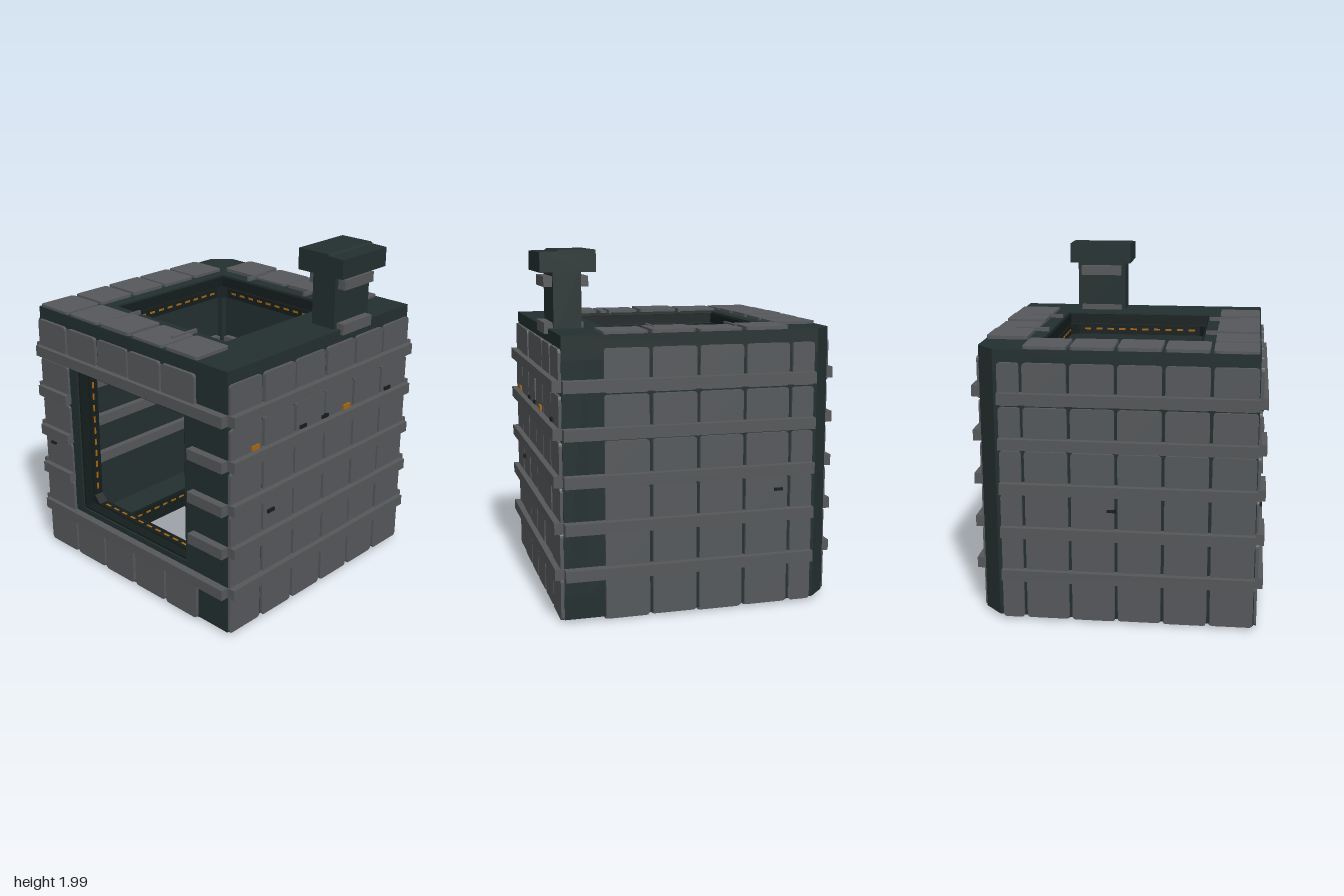
import * as THREE from 'three';

const mat = (name, color) => Object.assign(new THREE.MeshStandardMaterial({ color }), { name });

export function createModel() {
  const model = new THREE.Group();
  model.name = 'tiledCube';
  const body = mat('dark green body', 0x232f2f);
  const grey = mat('grey tile', 0x55585b);
  const slatGrey = mat('slat grey', 0x555759);
  const trim = mat('black trim', 0x151d1d);
  const amber = mat('amber light', 0xa8660f);

  const add = (parent, name, geo, m, x = 0, y = 0, z = 0) => {
    const o = new THREE.Mesh(geo, m);
    o.name = name;
    o.position.set(x, y, z);
    parent.add(o);
    return o;
  };
  // box given by its min and max corners
  const box = (parent, name, m, x0, x1, y0, y1, z0, z1) =>
    add(parent, name, new THREE.BoxGeometry(x1 - x0, y1 - y0, z1 - z0), m,
      (x0 + x1) / 2, (y0 + y1) / 2, (z0 + z1) / 2);
  const points = (a) => a.map(([x, y]) => new THREE.Vector2(x, y));
  // square outline with cut corners
  const octagon = (r, c) => points([[r - c, -r], [r, -r + c], [r, r - c], [r - c, r],
    [-r + c, r], [-r, r - c], [-r, -r + c], [-r + c, -r]]);
  const square = (r) => points([[-r, -r], [r, -r], [r, r], [-r, r]]);
  const plate = (outline, hole, depth) => {
    const s = new THREE.Shape(outline);
    if (hole) s.holes.push(new THREE.Path(hole));
    return new THREE.ExtrudeGeometry(s, { depth, bevelEnabled: false });
  };
  let seed = 7;
  const rand = () => (seed = (seed * 16807) % 2147483647) / 2147483647;

  const R = 0.77, IN = 0.64, MID = 0.797, LOW = 0.025, HIGH = 1.57;
  const HALF = (HIGH - LOW) / 2;

  // each face has its own frame: local z points outwards, origin at the cube centre
  const face = (name, rx, ry) => {
    const g = new THREE.Group();
    g.name = name;
    g.position.y = MID;
    g.rotation.set(rx, ry, 0);
    model.add(g);
    return g;
  };
  const front = face('frontFace', 0, 0);
  const back = face('backFace', 0, Math.PI);
  const plusX = face('leftFace', 0, Math.PI / 2);
  const minusX = face('rightFace', 0, -Math.PI / 2);
  const top = face('topFace', -Math.PI / 2, 0);
  const bottom = face('bottomFace', Math.PI / 2, 0);

  // floor and roof with one cut corner
  const footprint = (flip) => {
    const p = [[-R, -R], [R, -R], [R, R], [-0.67, R], [-R, 0.67]];
    return points(flip ? p.map(([x, y]) => [x, -y]).reverse() : p);
  };
  add(top, 'roof', plate(footprint(false), square(0.45), 0.13), body, 0, 0, HALF - 0.13);
  add(bottom, 'floor', plate(footprint(true), square(0.45), 0.13), body, 0, 0, HALF - 0.13);

  // walls
  const y0 = LOW + 0.13, y1 = HIGH - 0.13;
  add(front, 'frontWall', plate(points([[-R, y0 - MID], [R, y0 - MID], [R, y1 - MID], [-R, y1 - MID]]),
    square(0.45), 0.13), body, 0, 0, IN);
  box(model, 'sideWall', body, IN, R, y0, y1, -R, IN);
  box(model, 'sideWall', body, -R, -IN, y0, y1, -0.67, IN);
  box(model, 'backWall', body, -0.67, IN, y0, y1, -R, -IN);
  const post = plate(points([[-R, 0.67], [-0.67, R], [-0.6, R], [-0.6, 0.6], [-R, 0.6]].reverse()), null, y1 - y0);
  add(model, 'cutCornerPost', post, body, 0, y0, 0).rotation.x = -Math.PI / 2;

  // opening liners with cut corners and dashed light strips
  for (const [g, d] of [[front, R], [top, HALF], [bottom, HALF]]) {
    add(g, 'openingLiner', plate(square(0.451), octagon(0.432, 0.045), 0.06), trim, 0, 0, d - 0.135);
    add(g, 'openingRim', plate(square(0.452), square(0.438), 0.06), trim, 0, 0, d - 0.07);
    for (let side = 0; side < 4; side++) {
      const strip = new THREE.Group();
      strip.name = 'lightStrip';
      strip.rotation.z = side * Math.PI / 2;
      g.add(strip);
      for (let i = 0; i < 10; i++) {
        const y = -0.35 + i * 0.074;
        box(strip, 'lightDash', amber, -0.434, -0.429, y, y + 0.04, d - 0.107, d - 0.095);
      }
    }
  }

  // rounded tiles
  const tile = (g, u0, u1, v0, v1, d) => {
    const w = u1 - u0, h = v1 - v0, r = 0.02;
    const s = new THREE.Shape();
    s.moveTo(r, 0).lineTo(w - r, 0).quadraticCurveTo(w, 0, w, r);
    s.lineTo(w, h - r).quadraticCurveTo(w, h, w - r, h);
    s.lineTo(r, h).quadraticCurveTo(0, h, 0, h - r);
    s.lineTo(0, r).quadraticCurveTo(0, 0, r, 0);
    const geo = new THREE.ExtrudeGeometry(s, { depth: 0.013 + rand() * 0.007, bevelEnabled: false, curveSegments: 3 });
    add(g, 'tile', geo, grey, u0, v0, d);
  };
  const rowY = (i) => 0.02 + i * 0.248 - MID;
  const frontCol = (i) => -0.765 + i * 0.2655;
  const sideCol = (i) => -0.765 + i * 0.258;

  for (let r = 0; r < 6; r++) {
    const v0 = rowY(r), v1 = v0 + 0.238;
    for (let c = 0; c < 6; c++) {
      const s0 = sideCol(c), s1 = s0 + 0.24;
      tile(plusX, s0, s1, v0, v1, R);
      tile(minusX, Math.max(s0, -0.645), s1, v0, v1, R);
      if (c === 5) continue;
      const f0 = frontCol(c), f1 = f0 + 0.247;
      if (c === 0 || r === 0 || r === 5) tile(front, f0, f1, v0, v1, R);
      tile(back, -f1, Math.min(-f0, 0.645), v0, v1, R);
    }
  }
  // tiles around the top and bottom openings
  for (const [g, s] of [[top, 1], [bottom, -1]]) {
    const put = (u0, u1, z0, z1) => (s > 0 ? tile(g, u0, u1, -z1, -z0, HALF) : tile(g, u0, u1, z0, z1, HALF));
    for (let c = 0; c < 5; c++) {
      const u = frontCol(c);
      put(u, u + 0.247, 0.52, 0.762);
      if (c > 0) put(u, u + 0.247, -0.765, -0.528);
      if (c < 4) put(-0.762, -0.518, -0.508 + c * 0.257, -0.27 + c * 0.257);
    }
  }
  // two-by-two tiles on the inside of the back wall
  for (const u of [-0.235, 0.033])
    for (const v of [0.516, 0.764]) tile(front, u, u + 0.247, v - MID, v + 0.24 - MID, -IN);

  // horizontal slats, outside and inside
  for (let i = 0; i < 5; i++) {
    const v0 = 0.25 + i * 0.2555 - MID, v1 = v0 + 0.063;
    const slat = (g, a, b, d0 = R, d1 = 0.82) => box(g, 'slat', slatGrey, a, b, v0, v1, d0, d1);
    slat(plusX, -R, R);
    slat(minusX, -0.645, R);
    slat(back, -R, 0.645, R, 0.825);
    if (i === 0 || i === 4) slat(front, -R, R, R, 0.815);
    else {
      slat(front, -R, -0.515, R, 0.815);
      slat(front, 0.51, R, R, 0.815);
      slat(front, -0.58, 0.58, -IN, -IN + 0.04);
      slat(plusX, -0.58, 0.58, -IN, -IN + 0.04);
      slat(minusX, -0.58, 0.58, -IN, -IN + 0.04);
    }
  }

  // thin ribs on the roof
  for (const x of [-0.232, 0.228]) {
    box(model, 'roofRib', slatGrey, x - 0.008, x + 0.008, HIGH, 1.592, -0.645, -0.455);
    box(model, 'roofRib', slatGrey, x - 0.008, x + 0.008, HIGH, 1.592, 0.455, 0.64);
  }

  // small lamps and vents on the outer walls
  for (const z of [0.58, -0.19])
    box(plusX, 'wallLamp', amber, -z - 0.03, -z + 0.03, 1.085 - MID, 1.112 - MID, R, 0.796);
  for (const [z, y] of [[0.195, 1.098], [0.005, 1.098], [-0.58, 1.098], [0.45, 0.676]])
    box(plusX, 'vent', trim, -z - 0.027, -z + 0.027, y - 0.01 - MID, y + 0.01 - MID, R, 0.797);
  box(front, 'vent', trim, -0.71, -0.668, 0.71 - MID, 0.723 - MID, R, 0.796);
  box(minusX, 'vent', trim, -0.05, 0, 0.67 - MID, 0.686 - MID, R, 0.796);
  box(back, 'vent', trim, 0.42, 0.47, 0.67 - MID, 0.686 - MID, R, 0.796);

  // chimney with bands and a slightly sloped cap
  const chimney = new THREE.Group();
  chimney.name = 'chimney';
  model.add(chimney);
  box(chimney, 'shaft', body, 0.585, 0.742, 1.54, 1.9, -0.41, -0.105);
  for (const [a, b] of [[0.54, 0.585], [0.742, 0.79]])
    box(chimney, 'upperBand', slatGrey, a, b, 1.797, 1.855, -0.385, -0.13);
  for (const [a, b] of [[0.57, 0.585], [0.742, 0.79]])
    box(chimney, 'lowerBand', slatGrey, a, b, 1.54, 1.602, -0.385, -0.13);
  const cap = plate(points([[0.51, 1.878], [0.82, 1.878], [0.82, 1.987], [0.725, 1.99], [0.715, 2], [0.51, 2]]), null, 0.385);
  add(chimney, 'cap', cap, body, 0, 0, -0.45);

  return model;
}
